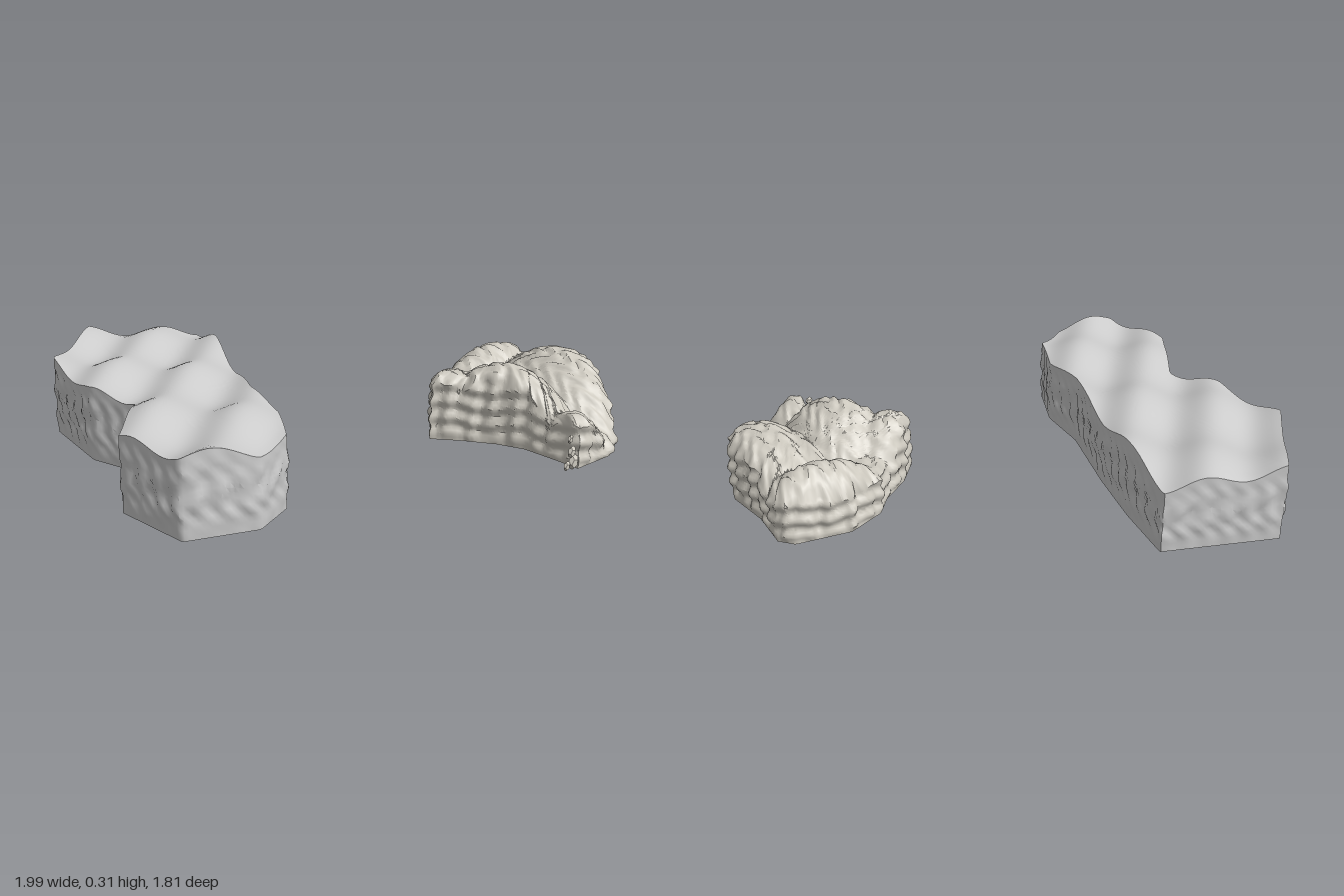
import * as THREE from 'three';
import { toCreasedNormals } from 'three/addons/utils/BufferGeometryUtils.js';

const { sin, cos, max, hypot, PI } = Math;

// Evenly spaced points and outward normals along a closed outline of [x, z] pairs
function sampleOutline(pairs, n) {
  const corners = pairs.map(([x, z]) => new THREE.Vector2(x, z));
  const pts = new THREE.Path().setFromPoints([...corners, corners[0]]).getSpacedPoints(n).slice(0, n);
  return pts.map((p, i) => {
    const t = pts[(i + 3) % n].clone().sub(pts[(i + n - 3) % n]).normalize();
    return { x: p.x, z: p.y, nx: t.y, nz: -t.x };
  });
}

// Closed rock: flat base, rough wall, then a height field drawn in to the centre
function rockGeometry({ outline, centre, height, rough, n = 260, wallRows = 16, topRows = 28 }) {
  const edge = sampleOutline(outline, n);
  const [cx, cz] = centre;
  const rings = [edge.map(() => [cx, 0, cz]), edge.map(p => [p.x, 0, p.z])];
  for (let r = 1; r <= wallRows; r++) {
    const t = r / wallRows;
    rings.push(edge.map((p, i) => {
      const y = t * height(p.x, p.z, 1);
      const d = rough(i / n, y, t);
      return [p.x + p.nx * d, y, p.z + p.nz * d];
    }));
  }
  const rim = rings[rings.length - 1];
  for (let r = topRows - 1; r >= 0; r--) {
    const k = r / topRows;
    rings.push(rim.map(([rx, , rz]) => {
      const x = cx + (rx - cx) * k, z = cz + (rz - cz) * k;
      return [x, height(x, z, k), z];
    }));
  }
  const index = [];
  for (let r = 0; r < rings.length - 1; r++) {
    for (let i = 0; i < n; i++) {
      const j = (i + 1) % n, a = r * n + i, b = r * n + j;
      if (r < rings.length - 2) index.push(a, a + n, b + n);
      else index.push(a, a + n, b);
      if (r > 0 && r < rings.length - 2) index.push(a, b + n, b);
    }
  }
  const g = new THREE.BufferGeometry();
  g.setAttribute('position', new THREE.Float32BufferAttribute(rings.flat(2), 3));
  g.setIndex(index);
  return toCreasedNormals(g, 0.75);
}

// Long slab: wavy top with diagonal ridges
const slab = {
  outline: [[-0.55, -0.9], [-0.13, -0.72], [-0.19, -0.46], [-0.27, -0.2], [-0.39, 0.13], [-0.42, 0.36],
    [-0.52, 0.56], [-0.68, 0.65], [-0.93, 0.585], [-0.985, 0.28], [-0.785, 0], [-0.865, -0.21], [-0.85, -0.57]],
  centre: [-0.61, -0.08],
  height: (x, z) => 0.277 + 0.021 * cos(2 * PI * (x + z + 0.63) / 0.42)
    + 0.013 * cos(2 * PI * (x - z + 0.95) / 0.62),
  rough: (s, y, t) => {
    const a = s * 2 * PI;
    const chips = sin(31 * a + 22 * y) * sin(17 * a - 35 * y) + 0.6 * sin(53 * a + 3 * sin(40 * y));
    return (0.003 + 0.006 * chips) * sin(PI * t);
  },
};

// Crag: hills as [x, z, top, fall-off in x, fall-off in z]
const hills = [
  [0.51, 0.5, 0.3, 2.8, 2.4],
  [0.36, 0.34, 0.27, 3, 5],
  [0.88, 0.45, 0.29, 2.6, 1.6],
  [0.8, 0.14, 0.255, 1.6, 6],
  [0.56, 0.84, 0.2, 6, 4],
];
const crag = {
  outline: [[0.29, 0.34], [0.38, 0.24], [0.5, 0.16], [0.57, 0.08], [0.72, 0.025], [0.93, 0.065], [0.975, 0.12],
    [0.965, 0.3], [0.99, 0.49], [0.92, 0.64], [0.82, 0.8], [0.72, 0.86], [0.53, 0.88], [0.525, 0.78],
    [0.51, 0.63], [0.46, 0.53], [0.38, 0.43]],
  centre: [0.7, 0.4],
  height: (x, z, k) => {
    let h = 0.17 - 0.12 * max(0, z - 0.1);
    for (const [hx, hz, top, fx, fz] of hills)
      h = max(h, top - fx * (x - hx) ** 2 - fz * (z - hz) ** 2);
    const folds = 0.005 * sin(75 * (z + 0.04 * sin(60 * x)));
    return h + folds - 0.035 * k ** 10;
  },
  rough: (s, y, t) => {
    const a = s * 2 * PI;
    const columns = sin(29 * a) + 0.5 * sin(47 * a + 20 * y);
    const strata = sin(y * 95 + sin(9 * a));
    return (0.006 * columns + 0.007 * strata) * Math.min(1, 5 * t) - 0.006 * t ** 6;
  },
};

export function createModel() {
  const group = new THREE.Group();
  const slabMat = new THREE.MeshStandardMaterial({ color: 0xcccccc });
  const cragMat = new THREE.MeshStandardMaterial({ color: 0xccc8be });
  const add = (name, geometry, material) => {
    const mesh = new THREE.Mesh(geometry, material);
    mesh.name = name;
    group.add(mesh);
    return mesh;
  };
  add('longSlab', rockGeometry(slab), slabMat);
  add('crag', rockGeometry(crag), cragMat);

  // Loose flakes at the tip of the crag
  [[0.46, 0.03, 0.89, 0.018], [0.49, 0.075, 0.882, 0.022], [0.48, 0.125, 0.88, 0.016], [0.51, 0.03, 0.875, 0.028]]
    .forEach(([x, y, z, r], i) => {
      const flake = add('flake' + (i + 1), new THREE.DodecahedronGeometry(r), cragMat);
      flake.position.set(x, y, z);
      flake.scale.set(1.2, 1, 0.6);
      flake.rotation.y = 0.4;
    });
  return group;
}
